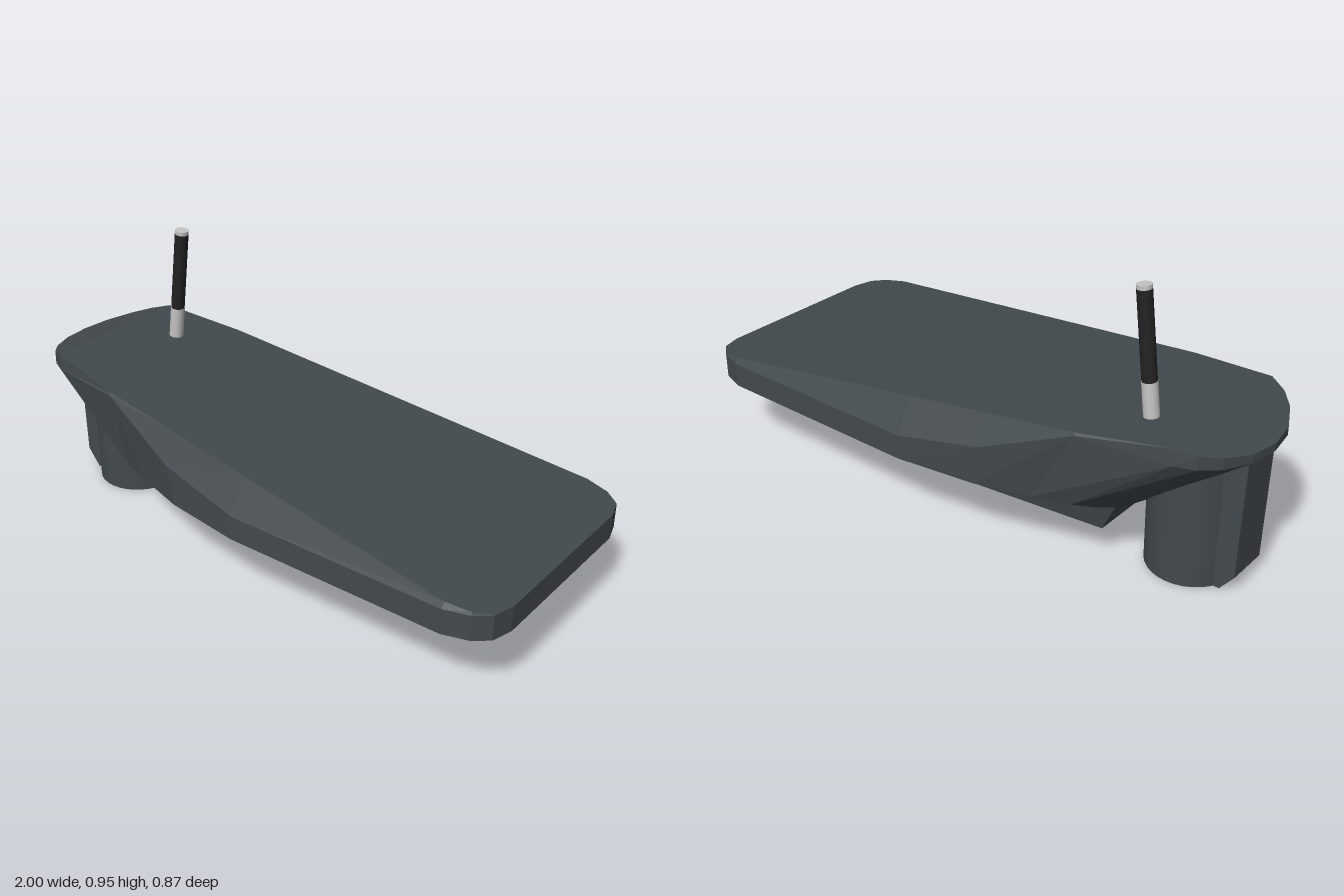
import * as THREE from 'three';
import { ConvexGeometry } from 'three/addons/geometries/ConvexGeometry.js';

const V = (x, y, z) => new THREE.Vector3(x, y, z);

// Height of the upper deck: long slope forward, short drop at the rounded rear
const deckY = x => x < -0.83 ? 0.56 + 0.265 * (x + 0.83) : 0.56 - 0.123 * (x + 0.83);

// Half outline from rear to front: deck [x, z], edge [x, y, z], underside [x, y, z]
const STATIONS = [
  [[-1, 0], [-1, 0.49, 0], [-0.63, 0.2, 0]],
  [[-0.985, 0.1], [-0.985, 0.49, 0.1], [-0.615, 0.205, 0.1]],
  [[-0.94, 0.19], [-0.94, 0.493, 0.19], [-0.59, 0.215, 0.18]],
  [[-0.89, 0.245], [-0.89, 0.498, 0.245], [-0.55, 0.23, 0.24]],
  [[-0.83, 0.275], [-0.83, 0.505, 0.28], [-0.5, 0.25, 0.3]],
  [[-0.53, 0.325], [-0.53, 0.515, 0.333], [-0.38, 0.25, 0.34]],
  [[-0.22, 0.347], [-0.22, 0.39, 0.4], [-0.2, 0.25, 0.395]],
  [[0.08, 0.368], [0.08, 0.335, 0.435], [0.08, 0.25, 0.435]],
  [[0.85, 0.422], [0.85, 0.335, 0.435], [0.85, 0.25, 0.435]],
  [[0.93, 0.405], [0.93, 0.335, 0.41], [0.93, 0.25, 0.41]],
  [[0.98, 0.368], [0.98, 0.334, 0.37], [0.98, 0.25, 0.37]],
  [[1, 0.3], [1, 0.333, 0.3], [1, 0.25, 0.3]],
];

// Faceted housing made from the mirrored stations
function housingGeometry() {
  const pos = [];
  const tri = (a, b, c) => {
    const n = b.clone().sub(a).cross(c.clone().sub(a));
    if (n.length() > 1e-7) pos.push(...a, ...b, ...c);
  };
  const quad = (a, b, c, d) => { tri(a, b, c); tri(a, c, d); };
  const left = STATIONS.map(([t, e, b]) => [V(t[0], deckY(t[0]), t[1]), V(...e), V(...b)]);
  const right = left.map(col => col.map(p => V(p.x, p.y, -p.z)));
  const last = left.length - 1;
  for (let i = 0; i < last; i++) {
    const j = i + 1;
    for (let k = 0; k < 2; k++) {
      quad(left[i][k + 1], left[j][k + 1], left[j][k], left[i][k]);
      quad(right[i][k], right[j][k], right[j][k + 1], right[i][k + 1]);
    }
    quad(left[i][0], left[j][0], right[j][0], right[i][0]);
    quad(right[i][2], right[j][2], left[j][2], left[i][2]);
  }
  for (let k = 0; k < 2; k++) {
    quad(left[last][k + 1], right[last][k + 1], right[last][k], left[last][k]);
  }
  const g = new THREE.BufferGeometry();
  g.setAttribute('position', new THREE.Float32BufferAttribute(pos, 3));
  g.computeVertexNormals();
  return g;
}

function roundedRect(x0, x1, h, r) {
  const s = new THREE.Shape();
  s.moveTo(x0 + r, -h);
  s.lineTo(x1 - r, -h);
  s.quadraticCurveTo(x1, -h, x1, -h + r);
  s.lineTo(x1, h - r);
  s.quadraticCurveTo(x1, h, x1 - r, h);
  s.lineTo(x0 + r, h);
  s.quadraticCurveTo(x0, h, x0, h - r);
  s.lineTo(x0, -h + r);
  s.quadraticCurveTo(x0, -h, x0 + r, -h);
  return s;
}

export function createModel() {
  const model = new THREE.Group();
  model.name = 'streetLamp';
  const material = (name, color) => {
    const m = new THREE.MeshStandardMaterial({ color });
    m.name = name;
    return m;
  };
  const slate = material('slate grey', 0x42494d);
  const silver = material('light grey', 0xc4c4c4);
  const black = material('black', 0x222222);
  const add = (name, geometry, mat, parent = model) => {
    const mesh = new THREE.Mesh(geometry, mat);
    mesh.name = name;
    parent.add(mesh);
    return mesh;
  };

  add('housing', housingGeometry(), slate);

  // Wedge under the housing
  const wedge = [];
  for (const s of [-1, 1]) {
    wedge.push(V(-0.54, 0.12, 0.185 * s), V(-0.2, 0.252, 0.395 * s), V(-0.6, 0.25, 0.185 * s));
  }
  add('underWedge', new ConvexGeometry(wedge), slate);

  // Pole socket with a chamfered rear rib
  const socket = add('poleSocket', new THREE.CylinderGeometry(0.151, 0.147, 0.45, 32), slate);
  socket.position.set(-0.753, 0.225, 0);
  const rib = new THREE.Shape([[-0.8, 0], [-0.9, 0], [-0.948, 0.06], [-0.96, 0.48], [-0.8, 0.48]]
    .map(p => new THREE.Vector2(...p)));
  const ribGeometry = new THREE.ExtrudeGeometry(rib, { depth: 0.15, bevelEnabled: false });
  add('socketRib', ribGeometry.translate(0, 0, -0.075), slate);

  // Light panel on the underside
  const panel = new THREE.ExtrudeGeometry(roundedRect(-0.145, 0.835, 0.31, 0.04),
    { depth: 0.008, bevelEnabled: false, curveSegments: 5 });
  panel.rotateX(Math.PI / 2).translate(0, 0.252, 0);
  add('lightPanel', panel, silver);

  // Leaning antenna
  const antenna = new THREE.Group();
  antenna.name = 'antenna';
  antenna.position.set(-0.665, 0.5, -0.13);
  antenna.rotation.z = -0.12;
  model.add(antenna);
  const section = (name, y0, y1, r, mat) => {
    const g = new THREE.CylinderGeometry(r, r, y1 - y0, 20);
    add(name, g.translate(0, (y0 + y1) / 2, 0), mat, antenna);
  };
  section('antennaBase', 0, 0.152, 0.025, silver);
  section('antennaRod', 0.152, 0.437, 0.024, black);
  section('antennaTip', 0.437, 0.45, 0.024, silver);

  return model;
}
